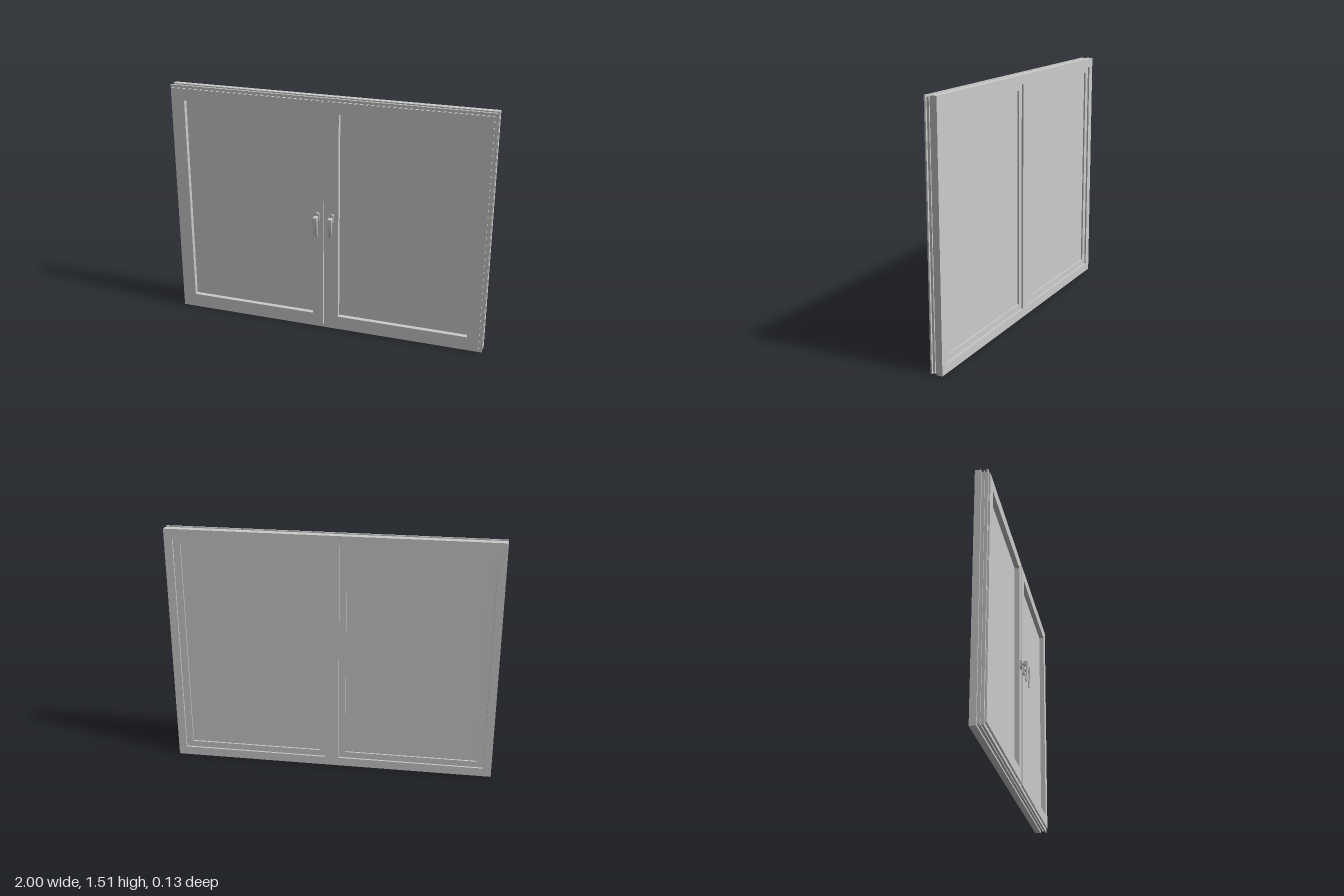
import * as THREE from 'three';

const grey = new THREE.MeshStandardMaterial({ color: 0xcccccc });
const H = 1.51;

// Path of a rectangle, used for outlines and for holes
function rect(path, x0, y0, x1, y1) {
  path.moveTo(x0, y0);
  path.lineTo(x1, y0);
  path.lineTo(x1, y1);
  path.lineTo(x0, y1);
  path.closePath();
  return path;
}

// Flat slab between z0 and z1 with rectangular openings
function slab(name, outer, holes, z0, z1) {
  const shape = rect(new THREE.Shape(), ...outer);
  holes.forEach(h => shape.holes.push(rect(new THREE.Path(), ...h)));
  const geo = new THREE.ExtrudeGeometry(shape, { depth: z1 - z0, bevelEnabled: false });
  geo.translate(0, 0, z0);
  const mesh = new THREE.Mesh(geo, grey);
  mesh.name = name;
  return mesh;
}

// Outer frame with a central post; thin inset layers form the grooves round its rim
function createFrame() {
  const frame = new THREE.Group();
  frame.name = 'outerFrame';
  const openings = [[-0.95, 0.055, -0.043, H - 0.055], [0.043, 0.055, 0.95, H - 0.055]];
  const layers = [
    // z back, z front, inset
    [-0.065, -0.028, 0],
    [-0.028, -0.017, 0.012],
    [-0.017, -0.009, 0.004],
    [-0.009, 0.001, 0.012],
    [0.001, 0.01, 0],
  ];
  layers.forEach(([z0, z1, i]) =>
    frame.add(slab('frameLayer', [-1 + i, i, 1 - i, H - i], openings, z0, z1)));
  return frame;
}

// Handle: rounded plate, round neck and a curved lever
function createHandle() {
  const handle = new THREE.Group();
  handle.name = 'handle';
  const add = (name, geo) => {
    const mesh = new THREE.Mesh(geo, grey);
    mesh.name = name;
    handle.add(mesh);
  };

  const r = 0.015;
  const plate = new THREE.Shape();
  plate.absarc(0, 0.018, r, 0, Math.PI);
  plate.absarc(0, -0.018, r, Math.PI, Math.PI * 2);
  plate.closePath();
  const plateGeo = new THREE.ExtrudeGeometry(plate, { depth: 0.012, bevelEnabled: false, curveSegments: 12 });
  add('handlePlate', plateGeo);

  const neck = new THREE.CylinderGeometry(0.01, 0.01, 0.03, 20);
  neck.rotateX(Math.PI / 2);
  neck.translate(0, 0, 0.022);
  add('handleNeck', neck);

  // Side profile of the lever: x is the distance from the sash, y is up
  const lever = new THREE.Shape();
  lever.moveTo(0.022, 0.013);
  lever.lineTo(0.042, 0.013);
  lever.quadraticCurveTo(0.047, 0.012, 0.047, 0.004);
  lever.bezierCurveTo(0.046, -0.035, 0.045, -0.07, 0.038, -0.112);
  lever.lineTo(0.032, -0.11);
  lever.bezierCurveTo(0.037, -0.07, 0.038, -0.04, 0.036, -0.012);
  lever.lineTo(0.022, -0.012);
  lever.closePath();
  const leverGeo = new THREE.ExtrudeGeometry(lever, {
    depth: 0.022, bevelEnabled: true, bevelSize: 0.001, bevelThickness: 0.002, bevelSegments: 1, curveSegments: 10,
  });
  leverGeo.translate(0, 0, -0.011);
  leverGeo.rotateY(-Math.PI / 2);
  add('handleLever', leverGeo);
  return handle;
}

// Sash: body inside the frame, overlapping front lip, pane and handle
function createSash(name, x0, x1, handleX) {
  const sash = new THREE.Group();
  sash.name = name;
  const left = x0 < -0.5;
  const a = x0 + (left ? 0.075 : 0.07), b = x1 - (left ? 0.07 : 0.075);
  const y0 = 0.095, y1 = 1.42;
  const hole = [[a, y0, b, y1]];
  const bodyX = left ? [-0.949, -0.044] : [0.044, 0.949];
  sash.add(slab('sashBody', [bodyX[0], 0.056, bodyX[1], H - 0.056], hole, -0.055, 0.01));
  sash.add(slab('sashLip', [x0, 0.02, x1, 1.494], hole, 0.01, 0.015));
  sash.add(slab('sashFace', [x0 + 0.002, 0.022, x1 - 0.002, 1.492], hole, 0.015, 0.02));
  sash.add(slab('pane', [a - 0.01, y0 - 0.01, b + 0.01, y1 + 0.01], [], -0.045, -0.01));

  const handle = createHandle();
  handle.position.set(handleX, 0.762, 0.02);
  sash.add(handle);
  return sash;
}

export function createModel() {
  const model = new THREE.Group();
  model.name = 'doubleWindow';
  model.add(createFrame());
  model.add(createSash('rightSash', -0.985, -0.015, -0.054));
  model.add(createSash('leftSash', 0.011, 0.981, 0.04));
  return model;
}
